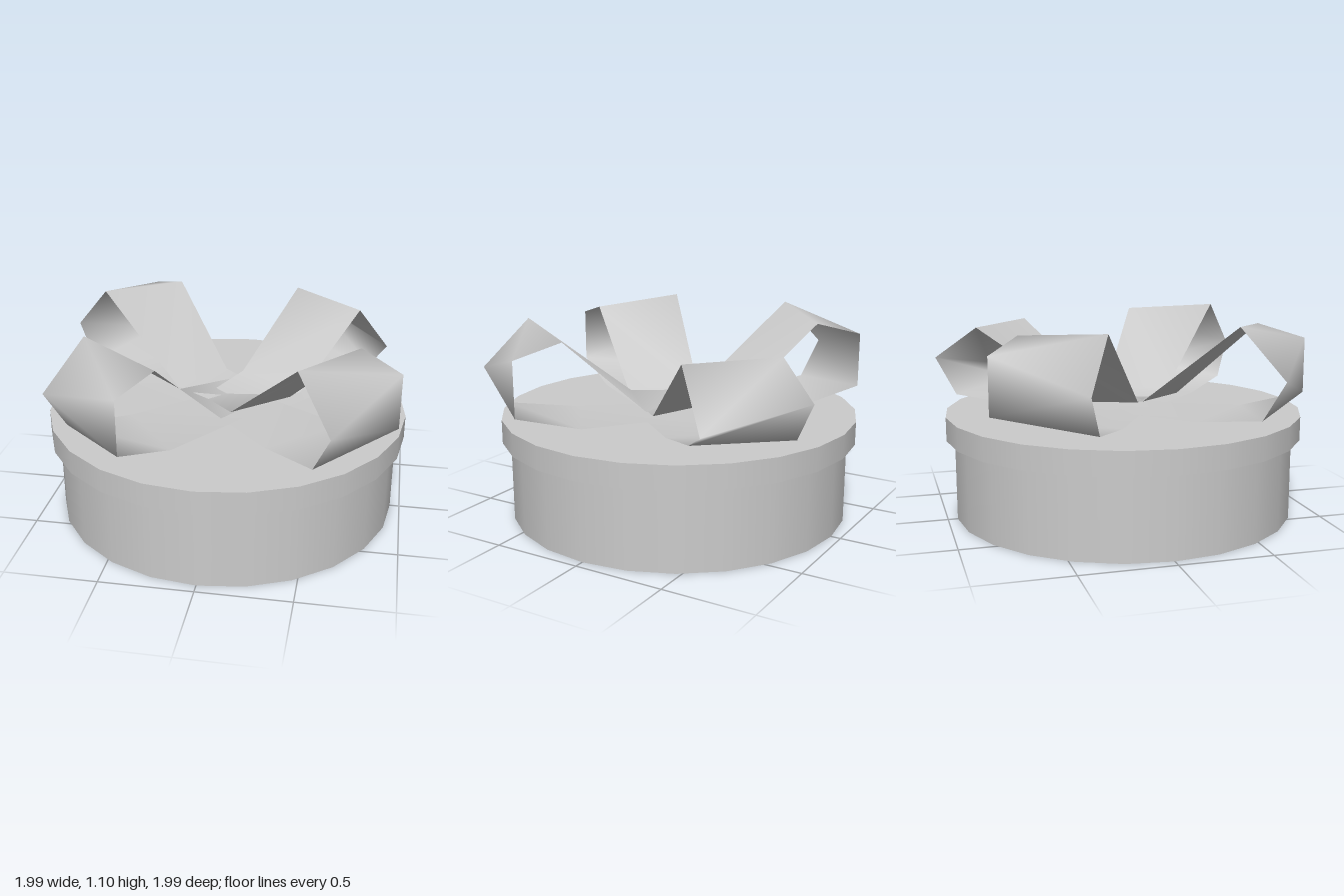
import * as THREE from 'three';

const grey = new THREE.MeshStandardMaterial({ color: 0xcccccc });
const ribbonGrey = new THREE.MeshStandardMaterial({ color: 0xcccccc, side: THREE.DoubleSide });

// Ribbon loop edges from upper inner end, around the outside, to lower inner end.
// Each point is [outward, sideways, height].
const nearEdge = [
  [-0.2, 0.1, 0.64], [0.2, 0.2, 0.66], [0.75, 0.325, 1.1], [1.0, 0.375, 0.84],
  [0.88, 0.35, 0.63], [0.5, 0.27, 0.582], [-0.2, 0.1, 0.577],
];
const farEdge = [
  [0.0, -0.2, 0.64], [0.28, -0.2, 0.64], [0.74, -0.2, 1.06], [1.0, -0.2, 0.99],
  [1.0, -0.2, 0.69], [0.65, -0.2, 0.592], [0.0, -0.2, 0.577],
];
// The back left loop is flatter and leans the other way
const lowNearEdge = nearEdge.map(([u, v, y]) => [u, v, Math.min(y, 1.02)]);
const lowFarEdge = [
  ...farEdge.slice(0, 2), [0.74, -0.2, 1.02], [1.0, -0.2, 0.73],
  [0.85, -0.2, 0.65], [0.5, -0.2, 0.585], [0.0, -0.2, 0.577],
];

function disc(name, radius, bottom, top) {
  const mesh = new THREE.Mesh(new THREE.CylinderGeometry(radius, radius, top - bottom, 24), grey);
  mesh.name = name;
  mesh.position.y = (bottom + top) / 2;
  return mesh;
}

// A twisted strip between two edges, turned to the given angle and optionally mirrored
function ribbonLoop(name, degrees, mirror, { near = nearEdge, far = farEdge, out = 0, side = 0 } = {}) {
  const a = THREE.MathUtils.degToRad(degrees);
  const flip = mirror ? -1 : 1;
  const positions = [], index = [];
  const add = ([u, v, y]) => {
    const r = u + out, t = (v + side) * flip;
    positions.push(r * Math.cos(a) - t * Math.sin(a), y, r * Math.sin(a) + t * Math.cos(a));
  };
  near.forEach((p, i) => {
    add(p);
    add(far[i]);
    if (i === 0) return;
    const n = 2 * i - 2;
    if (mirror) index.push(n, n + 1, n + 3, n, n + 3, n + 2);
    else index.push(n, n + 3, n + 1, n, n + 2, n + 3);
  });
  const geometry = new THREE.BufferGeometry();
  geometry.setAttribute('position', new THREE.Float32BufferAttribute(positions, 3));
  geometry.setIndex(index);
  geometry.computeVertexNormals();
  const mesh = new THREE.Mesh(geometry, ribbonGrey);
  mesh.name = name;
  return mesh;
}

export function createModel() {
  const model = new THREE.Group();
  model.name = 'giftBox';

  // Round box and its overhanging lid
  model.add(disc('boxBody', 0.947, 0, 0.445), disc('lid', 0.993, 0.445, 0.575));

  // Bow of four loops
  const bow = new THREE.Group();
  bow.name = 'bow';
  bow.add(
    ribbonLoop('frontLeftLoop', 33.5, false, { out: 0.01 }),
    ribbonLoop('frontRightLoop', 124, false, { out: -0.02 }),
    ribbonLoop('backRightLoop', 223.8, true),
    ribbonLoop('backLeftLoop', 310.2, true, { near: lowNearEdge, far: lowFarEdge, out: 0.04, side: -0.055 }),
  );
  model.add(bow);
  return model;
}
